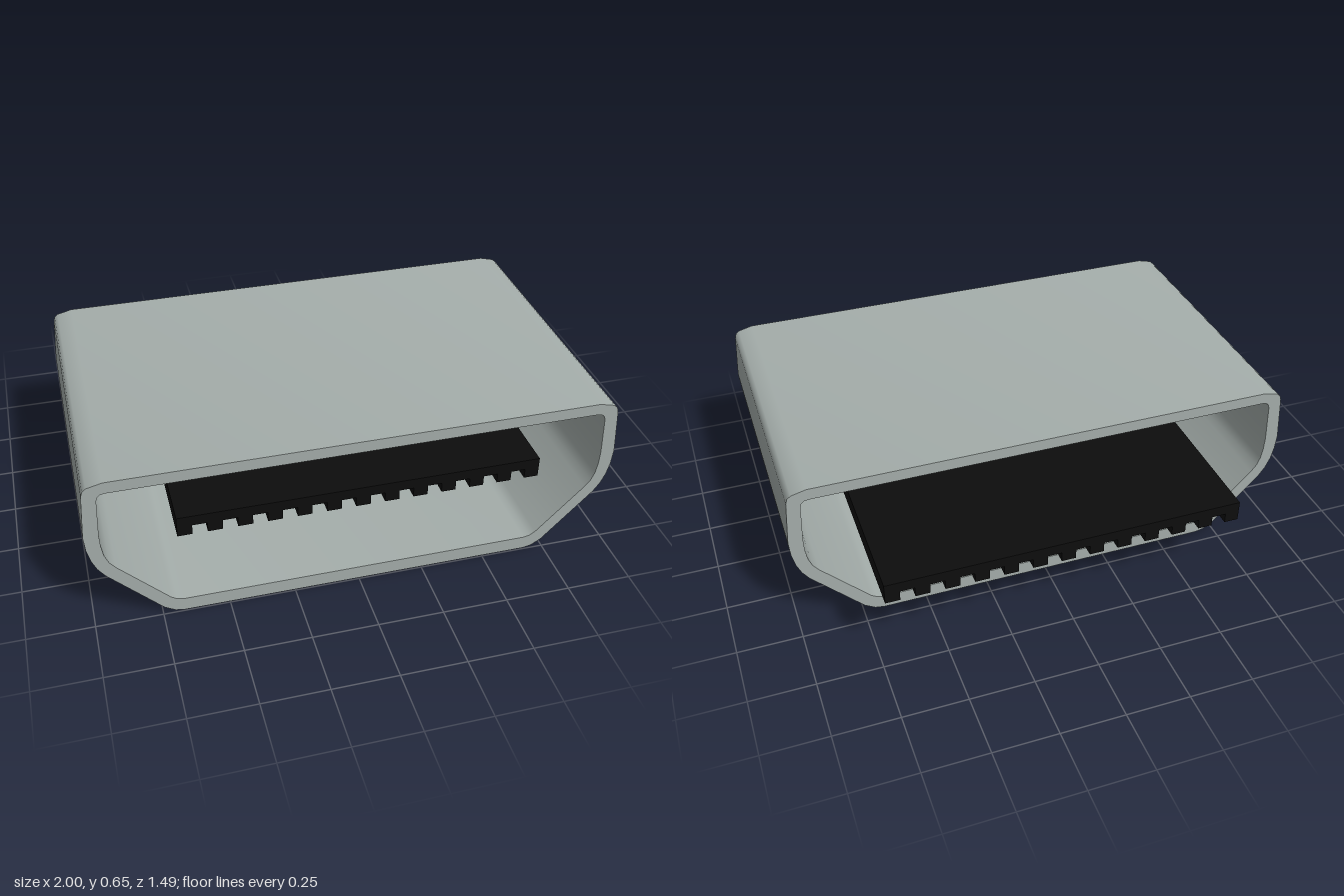
import * as THREE from 'three';
import { toCreasedNormals } from 'three/addons/utils/BufferGeometryUtils.js';

// Right half of each outline, bottom to top; mirrored to close the loop.
const OUTER = [[0.67, 0], [0.705, 0.006], [0.745, 0.03], [0.94, 0.232], [0.965, 0.268], [0.983, 0.31],
  [0.995, 0.36], [1, 0.42], [0.987, 0.6], [0.981, 0.62], [0.967, 0.632], [0.91, 0.646]];
const INNER = [[0.67, 0.055], [0.695, 0.06], [0.718, 0.075], [0.9, 0.262], [0.922, 0.29], [0.936, 0.325],
  [0.943, 0.37], [0.945, 0.42], [0.938, 0.572], [0.933, 0.588], [0.922, 0.597], [0.905, 0.6]];

const closedLoop = (half) => [...half, ...half.map(([x, y]) => [-x, y]).reverse()]
  .map(([x, y]) => new THREE.Vector2(x, y));

function extrudeZ(shape, back, front) {
  const geometry = new THREE.ExtrudeGeometry(shape, { depth: front - back, bevelEnabled: false });
  geometry.translate(0, 0, back);
  return geometry;
}

function createShell() {
  const shape = new THREE.Shape(closedLoop(OUTER));
  shape.holes.push(new THREE.Path(closedLoop(INNER)));
  const geometry = toCreasedNormals(extrudeZ(shape, -0.445, 0.745), 0.62);
  const shell = new THREE.Mesh(geometry, new THREE.MeshStandardMaterial({ color: 0xa5aeab }));
  shell.name = 'shell';
  return shell;
}

// Comb-shaped contact tongue: a flat bar with ribs along its underside.
function createTongue() {
  const count = 13, left = -0.67, pitch = 0.1115, rib = 0.0558;
  const top = 0.392, gap = 0.35, bottom = 0.31;
  const points = [];
  for (let i = 0; i < count; i++) {
    const x = left + i * pitch;
    points.push([x, gap], [x, bottom], [x + rib, bottom], [x + rib, gap]);
  }
  points.push([left + (count - 1) * pitch + rib, top], [left, top]);
  // The first and last gap corners lie on the straight end edges.
  const outline = points.filter((p, i) => i !== 0 && i !== count * 4 - 1);
  const shape = new THREE.Shape(outline.map(([x, y]) => new THREE.Vector2(x, y)));
  const tongue = new THREE.Mesh(extrudeZ(shape, -0.745, 0.69),
    new THREE.MeshStandardMaterial({ color: 0x0d0d0d }));
  tongue.name = 'contactTongue';
  return tongue;
}

export function createModel() {
  const model = new THREE.Group();
  model.name = 'connector';
  model.add(createShell(), createTongue());
  return model;
}
